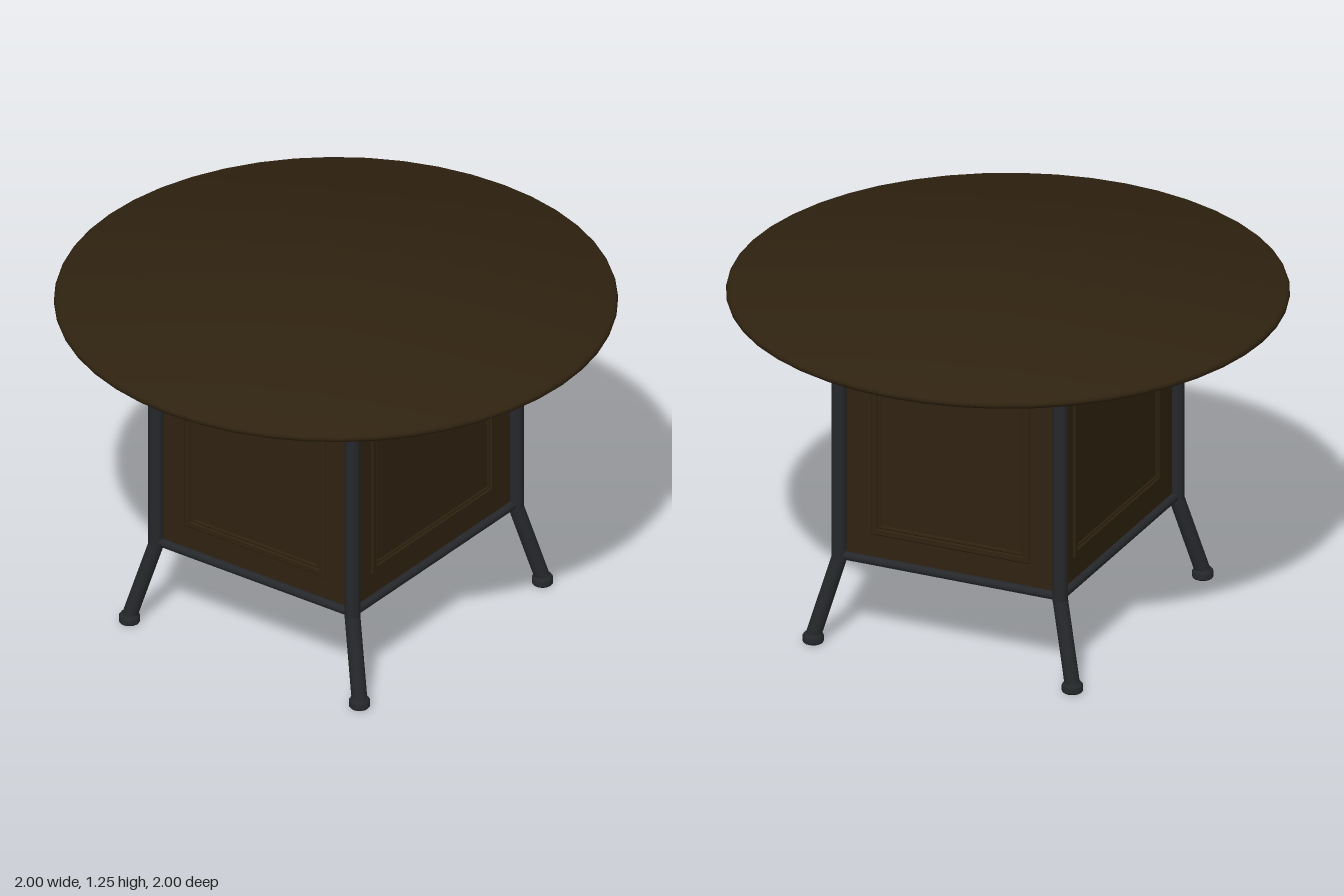
import * as THREE from 'three';
import { toCreasedNormals } from 'three/addons/utils/BufferGeometryUtils.js';
import { RoundedBoxGeometry } from 'three/addons/geometries/RoundedBoxGeometry.js';

export function createModel() {
  const table = new THREE.Group();
  table.name = 'roundTable';
  const wood = new THREE.MeshStandardMaterial({ color: 0x2f2210 });
  wood.name = 'dark wood';
  const metal = new THREE.MeshStandardMaterial({ color: 0x25272a });
  metal.name = 'dark metal';

  const add = (name, geometry, material, x = 0, y = 0, z = 0, parent = table) => {
    const mesh = new THREE.Mesh(geometry, material);
    mesh.name = name;
    mesh.position.set(x, y, z);
    parent.add(mesh);
    return mesh;
  };
  const rod = (name, a, b, r) => {
    const dir = b.clone().sub(a);
    const mid = a.clone().add(b).multiplyScalar(0.5);
    const mesh = add(name, new THREE.CylinderGeometry(r, r, dir.length(), 14), metal, mid.x, mid.y, mid.z);
    mesh.quaternion.setFromUnitVectors(new THREE.Vector3(0, 1, 0), dir.normalize());
  };
  const V = (x, y, z) => new THREE.Vector3(x, y, z);

  // Round top with a softened rim
  const rim = [[0, 1.222], [0.988, 1.222], [0.997, 1.228], [1, 1.237], [0.997, 1.246], [0.988, 1.252], [0, 1.252]];
  const top = new THREE.LatheGeometry(rim.map(p => new THREE.Vector2(...p)), 48);
  add('tableTop', toCreasedNormals(top, 0.75), wood);

  // Cabinet between the legs
  const X = 0.433, Z = 0.487;
  add('cabinet', new THREE.BoxGeometry(0.85, 0.895, 0.958), wood, 0, 0.7725, 0);

  // Splayed legs with round feet, and the lower frame
  for (const sx of [-1, 1]) {
    for (const sz of [-1, 1]) {
      const knee = V(sx * X, 0.315, sz * Z);
      rod('upperLeg', knee, V(sx * X, 1.224, sz * Z), 0.028);
      add('legJoint', new THREE.SphereGeometry(0.028, 14, 10), metal, knee.x, knee.y, knee.z);
      rod('lowerLeg', knee, V(sx * 0.507, 0.025, sz * 0.545), 0.028);
      const foot = [[0, 0], [0.034, 0], [0.038, 0.005], [0.038, 0.026], [0.032, 0.035], [0, 0.035]];
      const footGeometry = new THREE.LatheGeometry(foot.map(p => new THREE.Vector2(...p)), 16);
      add('foot', toCreasedNormals(footGeometry, 0.6), metal, sx * 0.507, 0, sz * 0.545);
    }
    rod('sideLowerRail', V(sx * X, 0.33, -Z), V(sx * X, 0.33, Z), 0.016);
    rod('endLowerRail', V(-X, 0.33, sx * Z), V(X, 0.33, sx * Z), 0.016);

    // Bearers under the top
    add('topBearer', new RoundedBoxGeometry(0.13, 0.034, 1.13, 3, 0.012), metal, sx * 0.555, 1.208, 0);
    add('topCrossPlate', new THREE.BoxGeometry(1.0, 0.008, 0.09), metal, 0, 1.219, sx * 0.52);
  }

  // Rectangular moulding ring with a bevelled section
  const ring = (w, h, t, d) => {
    const shape = new THREE.Shape([[-1, -1], [1, -1], [1, 1], [-1, 1]]
      .map(([a, b]) => new THREE.Vector2(a * w / 2, b * h / 2)));
    const iw = w / 2 - t, ih = h / 2 - t;
    shape.holes.push(new THREE.Path([[-1, -1], [-1, 1], [1, 1], [1, -1]]
      .map(([a, b]) => new THREE.Vector2(a * iw, b * ih))));
    return new THREE.ExtrudeGeometry(shape, {
      depth: d, bevelEnabled: true, bevelThickness: 0.004, bevelSize: 0.004, bevelOffset: -0.004, bevelSegments: 1,
    });
  };

  // Decorated faces: front, left, back, right
  for (let i = 0; i < 4; i++) {
    const end = i % 2 === 0;
    const face = new THREE.Group();
    face.name = 'facePanel';
    face.rotation.y = i * Math.PI / 2;
    table.add(face);
    const out = end ? 0.479 : 0.425;
    const w = end ? 0.62 : 0.73;
    add('outerMoulding', ring(w, 0.72, 0.026, 0.004), wood, 0, 0.79, out, face);
    add('innerMoulding', ring(w - 0.05, 0.67, 0.014, 0.001), wood, 0, 0.79, out, face);
    add('upperRail', new THREE.BoxGeometry(end ? 0.85 : 0.95, 0.04, 0.008), metal, 0, 1.2, out + 0.004, face);
  }
  return table;
}
